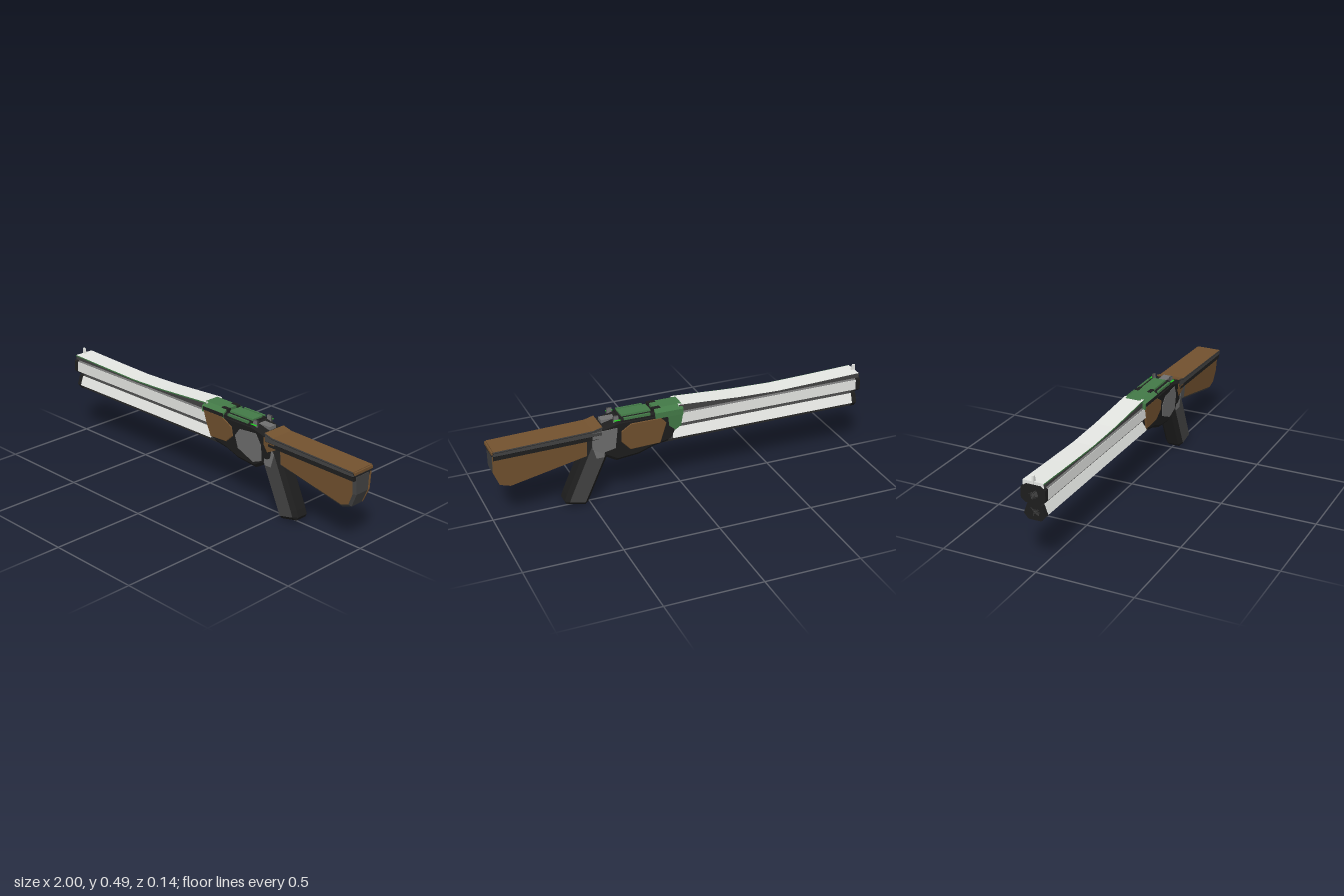
import * as THREE from 'three';

const mat = (name, color) => {
  const m = new THREE.MeshStandardMaterial({ color });
  m.name = name;
  return m;
};

export function createModel() {
  const steel = mat('pale steel', 0xf4f6f2);
  const grey = mat('mid grey', 0x707070);
  const gunmetal = mat('gunmetal', 0x424242);
  const black = mat('black', 0x1e1e1e);
  const brown = mat('brown wood', 0x73522f);
  const green = mat('green cover', 0x437a47);
  const bright = mat('bright green dots', 0x20d020);

  const group = new THREE.Group();
  const add = (name, geo, material) => {
    const m = new THREE.Mesh(geo, material);
    m.name = name;
    group.add(m);
    return m;
  };
  const shapeOf = pts => new THREE.Shape(pts.map(p => new THREE.Vector2(p[0], p[1])));

  // Side profile in x/y, chamfered towards both flanks; caps and rim coloured apart
  const slab = (name, pts, half, bevel, cap, rim, z = 0) => {
    const geo = new THREE.ExtrudeGeometry(shapeOf(pts), {
      depth: 2 * (half - bevel), bevelEnabled: bevel > 0, bevelThickness: bevel,
      bevelSize: bevel, bevelOffset: -bevel, bevelSegments: 1,
    });
    geo.translate(0, 0, z - half + bevel);
    return add(name, geo, [cap, rim]);
  };

  // Same, but narrowing evenly towards the bottom
  const taperedSlab = (...args) => {
    const geo = slab(...args).geometry;
    const p = geo.attributes.position;
    for (let i = 0; i < p.count; i++) {
      p.setZ(i, p.getZ(i) * (0.75 + (p.getY(i) - 0.22) * 1.25));
    }
    geo.computeVertexNormals();
  };

  // Cross-section in z/y, run along x
  const run = (name, pts, x0, x1, cap, rim) => {
    const geo = new THREE.ExtrudeGeometry(shapeOf(pts), { depth: x1 - x0, bevelEnabled: false });
    geo.rotateY(Math.PI / 2);
    geo.translate(x0, 0, 0);
    return add(name, geo, [cap, rim]);
  };
  const box = (name, x0, x1, y0, y1, z0, z1, material) => {
    const m = add(name, new THREE.BoxGeometry(x1 - x0, y1 - y0, z1 - z0), material);
    m.position.set((x0 + x1) / 2, (y0 + y1) / 2, (z0 + z1) / 2);
  };
  const mirrored = half => [...half, ...half.map(([z, y]) => [-z, y]).reverse()];

  // Two stacked faceted barrels; one pale facet on each flank (between half-section points 1 and 2)
  for (const [name, x0, half, tone] of [
    ['upperBarrel', -1, [[0.034, 0.352], [0.06, 0.372], [0.06, 0.427], [0.034, 0.445]], grey],
    ['lowerBarrel', -0.99, [[0.03, 0.265], [0.053, 0.291], [0.035, 0.341], [0.02, 0.35]], gunmetal],
  ]) {
    run(name, mirrored(half), x0 + 0.025, 0.1, black, tone);
    run(name + 'Muzzle', mirrored(half.map(([z, y]) => [z + 0.003, y])), x0, x0 + 0.025, black, black);
    const bore = add(name + 'Bore', new THREE.CylinderGeometry(0.026, 0.026, 0.004, 10), gunmetal);
    bore.rotation.z = Math.PI / 2;
    bore.position.set(x0 + 0.002, (half[0][1] + half[3][1]) / 2, 0);
    const [[za, ya], [zb, yb]] = half.slice(1, 3);
    for (const s of [-1, 1]) {
      const strip = [[za - 0.003, ya], [za + 0.002, ya], [zb + 0.002, yb], [zb - 0.003, yb]];
      run(name + 'Flank', strip.map(([z, y]) => [s * z, y]), x0 + 0.025, 0.06, steel, steel);
    }
  }

  // Dipping top rib with a fine green edge line, and front sight
  const ribTop = [[0.03, 0.472], [-0.1, 0.464], [-0.3, 0.452], [-0.52, 0.446], [-0.75, 0.452], [-0.995, 0.46]];
  slab('topRib', [[-0.995, 0.435], [0.03, 0.435], ...ribTop], 0.054, 0, gunmetal, steel);
  slab('ribEdgeLine', [
    ...ribTop, ...ribTop.map(([x, y]) => [x, y - 0.006]).reverse(),
  ], 0.001, 0, green, green, 0.0545);
  slab('frontSight', [[-1, 0.45], [-0.975, 0.45], [-0.985, 0.488], [-0.998, 0.488]],
    0.005, 0, steel, steel);

  // Receiver body
  taperedSlab('receiver', [
    [0.02, 0.445], [0.06, 0.28], [0.16, 0.262], [0.24, 0.232], [0.36, 0.22],
    [0.42, 0.255], [0.48, 0.3], [0.49, 0.415], [0.44, 0.43], [0.35, 0.452],
  ], 0.064, 0.016, black, black);

  // Left flank: wooden fore-end, grey action plate, wooden patch at the stock joint
  taperedSlab('leftForeEndPanel', [
    [0.02, 0.438], [0.15, 0.438], [0.215, 0.4], [0.22, 0.35], [0.17, 0.305],
    [0.06, 0.3], [0.035, 0.37],
  ], 0.007, 0.003, brown, brown, 0.061);
  taperedSlab('leftActionPlate', [
    [0.235, 0.36], [0.27, 0.405], [0.38, 0.415], [0.41, 0.36], [0.41, 0.275], [0.35, 0.25], [0.25, 0.295],
  ], 0.004, 0, grey, grey, 0.062);
  taperedSlab('leftJointPanel', [[0.43, 0.412], [0.5, 0.405], [0.5, 0.36], [0.45, 0.335], [0.43, 0.37]],
    0.005, 0, brown, brown, 0.061);

  // Right flank: green cheek, wooden panel set further back, grey rear plate
  taperedSlab('rightCoverCheek', [[0.01, 0.445], [0.095, 0.445], [0.085, 0.37], [0.05, 0.34], [0.02, 0.36]],
    0.005, 0, green, green, -0.061);
  taperedSlab('rightPanel', [
    [0.1, 0.39], [0.13, 0.425], [0.29, 0.425], [0.34, 0.39], [0.34, 0.33], [0.29, 0.275], [0.13, 0.28],
  ], 0.007, 0.003, brown, brown, -0.061);
  taperedSlab('rightRearPlate', [[0.36, 0.415], [0.49, 0.41], [0.49, 0.315], [0.44, 0.285], [0.37, 0.3]],
    0.005, 0, grey, grey, -0.062);

  // Rear sight posts with bright dots
  for (const s of [-1, 1]) {
    slab('rearSightPost', [[0.347, 0.43], [0.38, 0.43], [0.376, 0.474], [0.352, 0.474]],
      0.005, 0, grey, gunmetal, s * 0.049);
    box('sightDot', 0.342, 0.378, 0.452, 0.454, s * 0.06 - 0.005, s * 0.06 + 0.005, bright);
  }

  // Green top cover in two steps with a dark frame
  run('frontCover', [
    [-0.068, 0.425], [0.068, 0.425], [0.068, 0.455], [0.04, 0.472], [-0.04, 0.472], [-0.068, 0.455],
  ], 0.01, 0.16, green, green);
  box('coverEdge', 0.02, 0.16, 0.436, 0.454, 0.066, 0.069, black);
  run('coverFrame', [
    [-0.062, 0.43], [0.062, 0.43], [0.062, 0.448], [0.05, 0.457], [-0.05, 0.457], [-0.062, 0.448],
  ], 0.16, 0.34, black, black);
  run('rearCover', [[-0.038, 0.44], [0.038, 0.44], [0.034, 0.466], [-0.034, 0.466]],
    0.175, 0.33, green, green);
  for (const s of [-1, 1]) {
    box('coverLatch', 0.125, 0.17, 0.455, 0.4735, s * 0.034 - 0.01, s * 0.034 + 0.01, black);
    box('coverSideRail', 0.185, 0.325, 0.447, 0.46, s * 0.057 - 0.005, s * 0.057 + 0.005, green);
  }
  box('topLever', 0.34, 0.43, 0.43, 0.45, -0.022, 0.022, grey);

  // Raked pistol grip with grey shoulders
  slab('grip', [
    [0.4, 0.27], [0.515, 0.015], [0.53, 0], [0.628, 0.022], [0.638, 0.04],
    [0.625, 0.075], [0.53, 0.29], [0.49, 0.38], [0.42, 0.37],
  ], 0.051, 0.02, gunmetal, black);
  for (const s of [-1, 1]) {
    slab('gripShoulder', [[0.42, 0.33], [0.46, 0.36], [0.49, 0.33], [0.47, 0.26], [0.43, 0.26]],
      0.005, 0, grey, grey, s * 0.049);
  }

  // Shoulder stock: wooden flanks, dark rim, capped by a flat rail with a wooden top
  const stockSide = [[0.52, 0.38], [0.52, 0.285], [0.91, 0.2], [0.965, 0.218], [0.995, 0.29], [0.995, 0.38]];
  taperedSlab('stock', stockSide, 0.062, 0.014, brown, gunmetal);
  taperedSlab('rightStockPanel', stockSide, 0.004, 0, brown, brown, -0.06);
  slab('stockRail', [
    [0.44, 0.43], [0.44, 0.39], [0.99, 0.383], [1, 0.39], [0.99, 0.404], [0.49, 0.417],
  ], 0.066, 0.003, gunmetal, black);
  slab('railShadowLine', [[0.46, 0.392], [0.46, 0.37], [0.992, 0.362], [0.992, 0.385]],
    0.063, 0, black, black);
  slab('stockTop', [
    [0.44, 0.437], [0.44, 0.43], [0.49, 0.417], [0.99, 0.404], [0.99, 0.411], [0.49, 0.424],
  ], 0.067, 0, gunmetal, brown);
  box('buttTopPlate', 0.992, 1, 0.395, 0.409, -0.064, 0.064, brown);

  return group;
}
